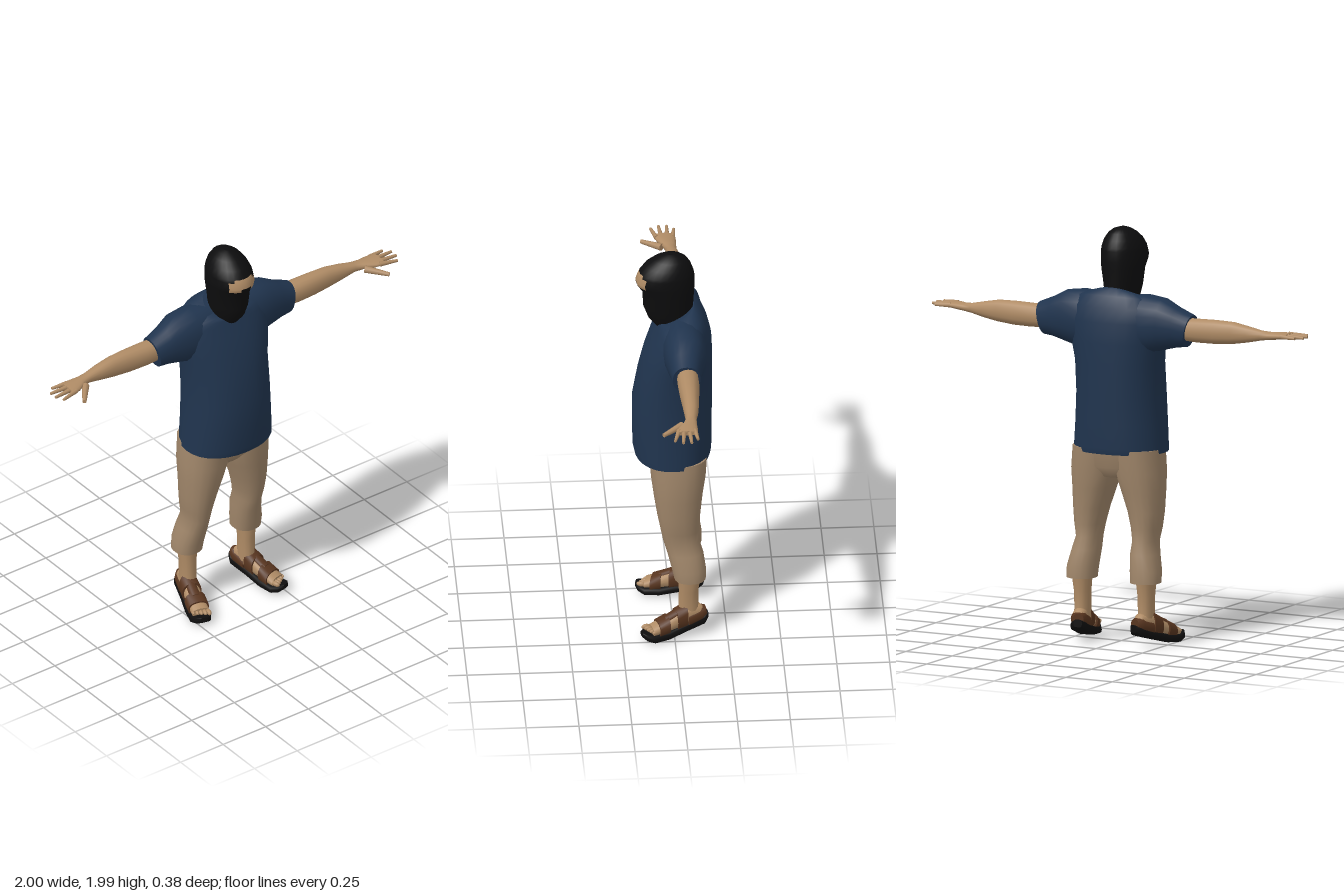
import * as THREE from 'three';

const mat = (name, color) => {
  const m = new THREE.MeshStandardMaterial({ color });
  m.name = name;
  return m;
};

// Loft along an axis. Section: [t, aMin, aMax, bMin, bMax, tilt]
// (a, b) is (z, x) for axis y, (y, z) for axis x and (x, y) for axis z.
// isAccent(row, segment) puts faces in a second material group.
function loft(axis, sections, { n = 24, power = 2.2, isAccent = null } = {}) {
  const pos = [], main = [], accent = [];
  const put = (t, a, b) => {
    if (axis === 'y') pos.push(b, t, a);
    else if (axis === 'x') pos.push(t, a, b);
    else pos.push(a, b, t);
  };
  const sp = (v) => Math.sign(v) * Math.abs(v) ** (2 / power);
  for (const [t, a0, a1, b0, b1, tilt = 0] of sections) {
    for (let j = 0; j < n; j++) {
      const th = (j / n) * Math.PI * 2, c = sp(Math.cos(th)), s = sp(Math.sin(th));
      put(t + tilt * c, (a0 + a1) / 2 + (c * (a1 - a0)) / 2, (b0 + b1) / 2 + (s * (b1 - b0)) / 2);
    }
  }
  for (let i = 0; i < sections.length - 1; i++) {
    for (let j = 0; j < n; j++) {
      const a = i * n + j, b = i * n + ((j + 1) % n);
      (isAccent && isAccent(i, j) ? accent : main).push(a, b, b + n, a, b + n, a + n);
    }
  }
  // End caps with their own rim vertices, so the edge stays crisp
  for (const end of [0, sections.length - 1]) {
    const [t, a0, a1, b0, b1] = sections[end], base = pos.length / 3;
    for (let j = 0; j < n; j++) pos.push(...pos.slice((end * n + j) * 3, (end * n + j) * 3 + 3));
    put(t, (a0 + a1) / 2, (b0 + b1) / 2);
    for (let j = 0; j < n; j++) {
      const k = (j + 1) % n;
      if (end) main.push(base + j, base + k, base + n);
      else main.push(base + k, base + j, base + n);
    }
  }
  const g = new THREE.BufferGeometry();
  g.setAttribute('position', new THREE.Float32BufferAttribute(pos, 3));
  g.setIndex([...main, ...accent]);
  if (isAccent) {
    g.addGroup(0, main.length, 0);
    g.addGroup(main.length, accent.length, 1);
  }
  g.computeVertexNormals();
  return g;
}

// Tapered finger between two points
function finger(p, q, r) {
  const a = new THREE.Vector3(...p), b = new THREE.Vector3(...q), d = b.clone().sub(a);
  const g = new THREE.CylinderGeometry(r * 0.55, r, d.length(), 8);
  g.applyQuaternion(new THREE.Quaternion().setFromUnitVectors(new THREE.Vector3(0, 1, 0), d.normalize()));
  return g.translate(...a.add(b).multiplyScalar(0.5).toArray());
}

// Copy a part to the other side and restore the corner order
function mirrored(geo) {
  const g = geo.clone(), p = g.attributes.position, nrm = g.attributes.normal, ix = g.index;
  for (let i = 0; i < p.count; i++) {
    p.setX(i, -p.getX(i));
    nrm.setX(i, -nrm.getX(i));
  }
  for (let i = 0; i < ix.count; i += 3) {
    const b = ix.getX(i + 1);
    ix.setX(i + 1, ix.getX(i + 2));
    ix.setX(i + 2, b);
  }
  return g;
}

export function createModel() {
  const model = new THREE.Group();
  model.name = 'maskedMan';
  const skin = mat('skin', 0xb08c66), shirt = mat('navyShirt', 0x20344e);
  const khaki = mat('khakiTrousers', 0xa0866a), black = mat('blackMask', 0x0d0d0e);
  const leather = mat('brownLeather', 0x58351f), rubber = mat('blackSole', 0x100f0f);

  const add = (name, geo, material) => {
    const m = new THREE.Mesh(geo, material);
    m.name = name;
    model.add(m);
  };
  const pair = (name, geo, material) => {
    add(name + 'Left', geo, material);
    add(name + 'Right', mirrored(geo), material);
  };

  // Balaclava with an eye opening of bare skin
  const slit = { 4: [1, 2], 5: [0, 1, 2], 6: [0, 1] };
  add('balaclava', loft('y', [
    [1.60, -0.095, 0.075, -0.06, 0.06], [1.65, -0.10, 0.115, -0.076, 0.076],
    [1.71, -0.10, 0.137, -0.085, 0.085], [1.79, -0.105, 0.14, -0.098, 0.098],
    [1.83, -0.107, 0.168, -0.104, 0.104], [1.85, -0.107, 0.174, -0.105, 0.105],
    [1.88, -0.105, 0.163, -0.102, 0.102], [1.895, -0.102, 0.156, -0.10, 0.10],
    [1.93, -0.09, 0.13, -0.086, 0.086], [1.96, -0.07, 0.09, -0.063, 0.063],
    [1.978, -0.045, 0.055, -0.038, 0.038], [1.986, -0.015, 0.025, -0.012, 0.012],
  ], { power: 2, isAccent: (i, j) => !!slit[i] && slit[i].includes(Math.min(j, 23 - j)) }), [black, skin]);

  // Loose shirt body, with the collar dipping at the front
  add('shirtBody', loft('y', [
    [0.92, -0.18, 0.18, -0.23, 0.23], [0.95, -0.186, 0.186, -0.228, 0.228],
    [1.06, -0.186, 0.19, -0.221, 0.221], [1.2, -0.19, 0.19, -0.214, 0.214],
    [1.35, -0.19, 0.163, -0.217, 0.217], [1.45, -0.19, 0.137, -0.235, 0.235],
    [1.55, -0.185, 0.10, -0.25, 0.25], [1.61, -0.167, 0.075, -0.245, 0.245, -0.01],
    [1.65, -0.145, 0.068, -0.205, 0.205, -0.025], [1.668, -0.115, 0.062, -0.13, 0.13, -0.035],
    [1.67, -0.105, 0.058, -0.095, 0.095, -0.04],
  ], { n: 28 }), shirt);

  // Sleeves
  pair('sleeve', loft('x', [
    [0.08, 1.42, 1.675, -0.15, 0.05], [0.17, 1.40, 1.684, -0.155, 0.055],
    [0.26, 1.425, 1.672, -0.148, 0.045], [0.33, 1.442, 1.635, -0.125, 0.03],
    [0.395, 1.447, 1.602, -0.112, 0.02, 0.016],
  ], { n: 20 }), shirt);

  // Bare arms and palms
  pair('arm', loft('x', [
    [0.34, 1.48, 1.588, -0.10, 0.0], [0.45, 1.475, 1.59, -0.102, 0.0],
    [0.54, 1.476, 1.592, -0.097, -0.004], [0.63, 1.484, 1.59, -0.09, -0.01],
    [0.71, 1.498, 1.575, -0.083, -0.014], [0.78, 1.513, 1.56, -0.07, -0.018],
    [0.82, 1.518, 1.556, -0.069, -0.005], [0.87, 1.523, 1.557, -0.07, 0.024],
    [0.915, 1.53, 1.554, -0.068, 0.032],
  ], { n: 16 }), skin);

  // Fingers, then the thumb
  [[-0.056, 0.97, -0.066], [-0.03, 1.0, -0.034], [-0.004, 1.0, 0.005], [0.02, 0.98, 0.043]].forEach(([z0, x, z1], i) =>
    pair('finger' + (i + 1), finger([0.89, 1.542, z0], [x, 1.54, z1], 0.0125), skin));
  pair('thumb', finger([0.82, 1.532, 0.0], [0.895, 1.522, 0.093], 0.018), skin);

  // Cropped trousers
  add('trouserSeat', loft('y', [
    [0.80, -0.11, 0.06, -0.10, 0.10], [0.85, -0.148, 0.10, -0.20, 0.20], [0.96, -0.163, 0.115, -0.222, 0.222],
  ]), khaki);
  pair('trouserLeg', loft('y', [
    [0.305, -0.15, 0.0, 0.10, 0.243], [0.36, -0.15, 0.012, 0.097, 0.242],
    [0.44, -0.138, 0.032, 0.092, 0.222], [0.50, -0.12, 0.05, 0.095, 0.208],
    [0.56, -0.12, 0.062, 0.085, 0.22], [0.64, -0.125, 0.078, 0.065, 0.228],
    [0.74, -0.137, 0.094, 0.03, 0.232], [0.83, -0.152, 0.106, 0.0, 0.235],
    [0.94, -0.16, 0.115, -0.01, 0.225],
  ], { n: 18 }), khaki);

  // Ankles
  pair('ankle', loft('y', [
    [0.09, -0.125, -0.02, 0.135, 0.208], [0.16, -0.115, -0.02, 0.135, 0.207],
    [0.24, -0.115, -0.022, 0.133, 0.21], [0.33, -0.13, -0.015, 0.125, 0.22],
  ], { n: 14 }), skin);

  // Feet and sandals, toes turned outward
  const placeFoot = (g) => g.rotateY(0.28).translate(0.195, 0, 0);
  pair('sole', placeFoot(loft('z', [
    [-0.163, -0.02, 0.02, 0.075, 0.112], [-0.14, -0.04, 0.04, 0.055, 0.10],
    [-0.05, -0.042, 0.042, 0.03, 0.072], [0.04, -0.052, 0.05, 0.006, 0.047],
    [0.11, -0.055, 0.051, 0.0, 0.04], [0.145, -0.042, 0.038, 0.012, 0.048],
    [0.163, -0.018, 0.016, 0.028, 0.052],
  ], { n: 16, power: 4 })), rubber);
  pair('foot', placeFoot(loft('z', [
    [-0.145, -0.02, 0.02, 0.095, 0.135], [-0.12, -0.036, 0.036, 0.08, 0.16],
    [-0.06, -0.037, 0.037, 0.055, 0.165], [0.0, -0.042, 0.04, 0.045, 0.128],
    [0.06, -0.046, 0.043, 0.035, 0.098], [0.115, -0.046, 0.043, 0.03, 0.074],
  ], { n: 16 })), skin);
  for (let i = 0; i < 5; i++) {
    const r = 0.013 - i * 0.0012;
    pair('toe' + (i + 1), placeFoot(new THREE.SphereGeometry(r, 10, 8).scale(0.9, 1, 1.8)
      .translate(-0.036 + i * 0.018, 0.056, 0.13 - i * 0.005)), skin);
  }
  const straps = {
    frontStrap: [[0.035, -0.053, 0.051, 0.03, 0.118], [0.085, -0.054, 0.051, 0.02, 0.094]],
    instepStrap: [[-0.055, -0.045, 0.045, 0.045, 0.168], [-0.005, -0.05, 0.048, 0.04, 0.14]],
    topStrap: [[-0.02, -0.026, 0.026, 0.08, 0.148], [0.05, -0.028, 0.028, 0.06, 0.114]],
    heelStrap: [[-0.153, -0.026, 0.026, 0.08, 0.138], [-0.125, -0.042, 0.042, 0.07, 0.145], [-0.06, -0.045, 0.045, 0.05, 0.125]],
  };
  for (const [name, sections] of Object.entries(straps))
    pair(name, placeFoot(loft('z', sections, { n: 16, power: 2.4 })), leather);

  return model;
}
